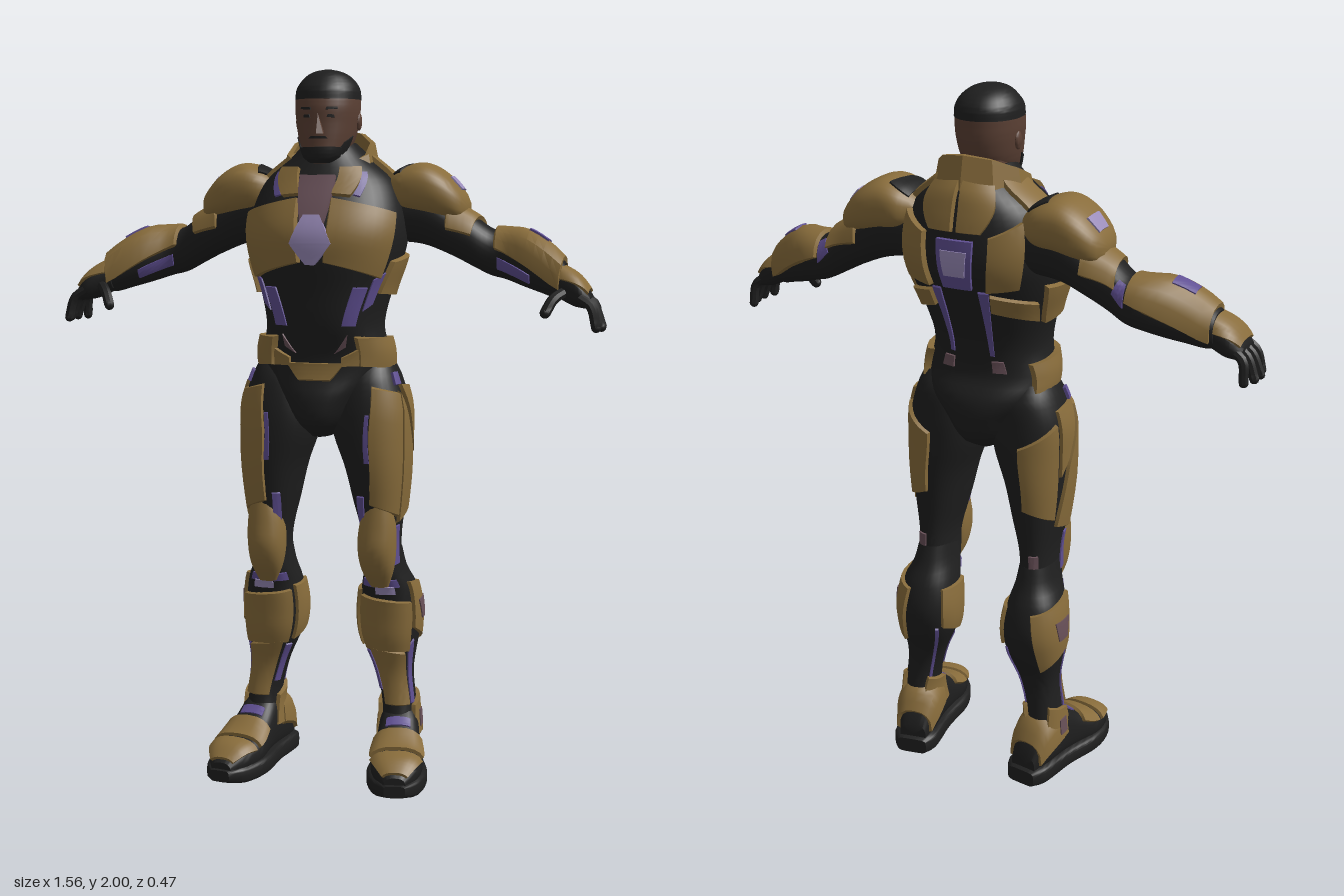
import * as THREE from 'three';
import { toCreasedNormals, mergeGeometries } from 'three/addons/utils/BufferGeometryUtils.js';

const paint = (name, color, side = THREE.FrontSide) => {
  const m = new THREE.MeshStandardMaterial({ color, side });
  m.name = name;
  return m;
};

// Smooth interpolation of a table of rows [t, lo, hi, back, front]
function sample(rows, t) {
  const n = rows.length - 1;
  t = Math.min(Math.max(t, rows[0][0]), rows[n][0]);
  let i = 0;
  while (i < n - 1 && t > rows[i + 1][0]) i++;
  const p = rows[i], q = rows[i + 1], d = q[0] - p[0], s = (t - p[0]) / d;
  const slope = (k, c) => {
    const a = rows[Math.max(k - 1, 0)], b = rows[Math.min(k + 1, n)];
    return (b[c] - a[c]) / (b[0] - a[0]) * d;
  };
  return [1, 2, 3, 4].map(c => {
    const h = 3 * s * s - 2 * s * s * s;
    return p[c] * (1 - h) + q[c] * h + slope(i, c) * s * (1 - s) ** 2 - slope(i + 1, c) * s * s * (1 - s);
  });
}

// Surface point at position t along the axis and angle a in degrees.
// y axis: 0 front, 90 at +x. x axis: 0 up, 90 front. z axis: 0 up, 90 at -x.
function surface(rows, axis = 'y', power = 2.3, matrix = null) {
  const P = (t, a) => {
    const [lo, hi, b, f] = sample(rows, t), r = a * Math.PI / 180;
    const e = v => Math.sign(v) * Math.abs(v) ** (2 / power);
    const c = e(Math.cos(r)), s = e(Math.sin(r));
    const m1 = (lo + hi) / 2, r1 = (hi - lo) / 2, m2 = (b + f) / 2, r2 = (f - b) / 2;
    const v = axis === 'y' ? new THREE.Vector3(m1 + r1 * s, t, m2 + r2 * c)
      : axis === 'x' ? new THREE.Vector3(t, m1 + r1 * c, m2 + r2 * s)
        : new THREE.Vector3(m1 - r1 * s, m2 + r2 * c, t);
    return matrix ? v.applyMatrix4(matrix) : v;
  };
  P.range = [rows[0][0], rows[rows.length - 1][0]];
  return P;
}

function gridGeometry(points, n, m, extra = []) {
  const index = [...extra];
  for (let i = 0; i < n; i++) for (let j = 0; j < m; j++) {
    const a = i * (m + 1) + j, b = a + 1, c = a + m + 1, d = c + 1;
    index.push(a, b, d, a, d, c);
  }
  return new THREE.BufferGeometry().setFromPoints(points).setIndex(index);
}

// Closed body running along a whole surface
function body(P, n = 30, m = 32) {
  const pts = [], caps = [], [t0, t1] = P.range;
  for (let i = 0; i <= n; i++) for (let j = 0; j <= m; j++) pts.push(P(t0 + (t1 - t0) * i / n, 360 * j / m));
  const base = pts.length, top = n * (m + 1);
  pts.push(P(t0, 0).add(P(t0, 180)).multiplyScalar(0.5), P(t1, 0).add(P(t1, 180)).multiplyScalar(0.5));
  for (let j = 0; j < m; j++) caps.push(base, j + 1, j, base + 1, top + j, top + j + 1);
  return gridGeometry(pts, n, m, caps);
}

// Raised plate with bevelled rim over four corners [t, angle]
function plate(P, [c0, c1, c2, c3], h) {
  const n = 10, pts = [];
  const step = k => k === 0 ? 0 : k === n ? 1 : 0.03 + 0.94 * (k - 1) / (n - 2);
  for (let i = 0; i <= n; i++) for (let j = 0; j <= n; j++) {
    const u = step(j), v = step(i);
    const at = k => (c0[k] * (1 - u) + c1[k] * u) * (1 - v) + (c3[k] * (1 - u) + c2[k] * u) * v;
    const t = at(0), a = at(1), e = 0.003;
    const normal = P(t, a + 1).sub(P(t, a - 1)).cross(P(t + e, a).sub(P(t - e, a))).normalize();
    const rim = i === 0 || j === 0 || i === n || j === n;
    pts.push(P(t, a).addScaledVector(normal, rim ? Math.max(h - 0.02, -0.005) : h));
  }
  return gridGeometry(pts, n, n);
}

export function createModel() {
  const model = new THREE.Group();
  model.name = 'armouredFigure';
  const gold = paint('gold armour', 0x886c3b, THREE.DoubleSide), black = paint('black suit', 0x1f1f1f);
  const purple = paint('purple glow', 0x5f4f92), lavender = paint('lavender light', 0x9a8cba);
  const mauve = paint('mauve panel', 0x685058), skin = paint('skin', 0x5b4034);

  const add = (name, geometry, material, both = false) => {
    for (const side of both ? [1, -1] : [1]) {
      const g = geometry.index ? geometry.toNonIndexed() : geometry.clone();
      g.deleteAttribute('uv');
      g.deleteAttribute('normal');
      if (side < 0) {
        const p = g.attributes.position;
        for (let i = 0; i < p.count; i += 3) {
          const [a, b, c] = [0, 1, 2].map(k => new THREE.Vector3().fromBufferAttribute(p, i + k));
          [a, c, b].forEach((v, k) => p.setXYZ(i + k, -v.x, v.y, v.z));
        }
      }
      g.computeVertexNormals();
      const mesh = new THREE.Mesh(toCreasedNormals(g, 0.6), material);
      mesh.name = both ? (side > 0 ? 'left ' : 'right ') + name : name;
      model.add(mesh);
    }
  };
  const plates = (name, P, material, h, both, ...quads) => quads.forEach(q => add(name, plate(P, q, h), material, both));

  // Torso and pelvis
  const torso = surface([[0.99, -.03, .03, -.06, .1], [1.03, -.07, .07, -.13, .15], [1.1, -.12, .12, -.155, .155],
    [1.16, -.17, .17, -.15, .135], [1.22, -.18, .18, -.12, .13], [1.3, -.165, .165, -.125, .15],
    [1.4, -.185, .185, -.16, .16], [1.48, -.21, .21, -.195, .17], [1.55, -.222, .222, -.22, .172],
    [1.62, -.215, .215, -.22, .145], [1.7, -.18, .18, -.205, .1], [1.76, -.11, .11, -.18, .07], [1.8, -.07, .07, -.12, .05]]);
  add('torso', body(torso, 48, 40), black);
  plates('chest plate', torso, gold, .015, true, [[1.475, 6], [1.43, 58], [1.61, 66], [1.65, 9]]);
  plates('collar bone plate', torso, gold, .012, true, [[1.655, 9], [1.65, 24], [1.73, 44], [1.73, 18]]);
  plates('neck stripe', torso, purple, .005, true, [[1.655, 26], [1.65, 32], [1.72, 48], [1.72, 40]]);
  plates('rib plate', torso, gold, .014, true, [[1.39, 60], [1.38, 108], [1.5, 112], [1.48, 68]]);
  plates('lower back plate', torso, gold, .012, true, [[1.39, 112], [1.43, 160], [1.48, 160], [1.45, 116]]);
  plates('shoulder blade plate', torso, gold, .015, true, [[1.5, 136], [1.49, 162], [1.64, 158], [1.68, 126]]);
  plates('upper back plate', torso, gold, .014, true, [[1.645, 163], [1.645, 179], [1.77, 179], [1.76, 135]]);
  plates('neck guard plate', torso, gold, .012, true, [[1.7, 82], [1.7, 116], [1.77, 124], [1.765, 80]]);
  plates('belt plate', torso, gold, .018, true, [[1.19, 36], [1.18, 120], [1.26, 126], [1.275, 36]]);
  plates('belt strap', torso, gold, .01, true, [[1.19, 20], [1.19, 38], [1.24, 38], [1.215, 20]]);
  plates('belt buckle', torso, gold, .012, false, [[1.15, -13], [1.15, 13], [1.2, 24], [1.2, -24]]);
  plates('sternum light', torso, lavender, .018, false, [[1.47, -2], [1.47, 2], [1.53, 13], [1.53, -13]], [[1.525, -13], [1.525, 13], [1.6, 4], [1.6, -4]]);
  plates('throat panel', torso, mauve, .013, false, [[1.57, -6], [1.57, 6], [1.71, 14], [1.71, -14]]);
  plates('waist stripe', torso, purple, .004, true, [[1.3, 24], [1.3, 40], [1.41, 48], [1.41, 32]], [[1.34, 46], [1.36, 58], [1.45, 66], [1.43, 52]]);
  plates('waist spot', torso, mauve, .005, true, [[1.225, 14], [1.245, 26], [1.28, 30], [1.26, 24]]);
  plates('spine panel', torso, purple, .008, false, [[1.49, 171], [1.49, 189], [1.63, 192], [1.63, 168]]);
  plates('spine light', torso, lavender, .011, false, [[1.53, 174], [1.53, 186], [1.6, 188], [1.6, 172]]);
  plates('back stripe', torso, purple, .004, true, [[1.28, 160], [1.28, 164], [1.49, 168], [1.49, 160]]);
  plates('back spot', torso, mauve, .005, true, [[1.235, 150], [1.235, 164], [1.27, 164], [1.27, 152]]);

  // High collar sloping down toward the front
  const collar = (t, a) => {
    const r = a * Math.PI / 180, c = Math.cos(r), base = 1.7 - .02 * c, top = 1.785 - .055 * c;
    return new THREE.Vector3(Math.sin(r) * (.134 - .02 * t), base + (top - base) * t, -.045 + c * (.14 - .025 * t));
  };
  plates('collar', collar, gold, .009, false, [[0, 20], [0, 340], [1, 332], [1, 28]]);

  // Head, hair and face
  const neck = surface([[1.7, -.075, .075, -.12, .05], [1.76, -.068, .068, -.105, .05], [1.82, -.066, .066, -.1, .045]]);
  add('neck', body(neck, 6), skin);
  const head = surface([[1.742, -.03, .03, -.01, .085], [1.76, -.053, .053, -.05, .1], [1.8, -.073, .073, -.095, .1],
    [1.85, -.084, .084, -.114, .097], [1.9, -.089, .089, -.118, .095], [1.94, -.083, .083, -.112, .08], [1.97, -.05, .05, -.07, .05]], 'y', 2.1);
  add('head', body(head), skin);
  const hair = surface([[1.917, -.09, .09, -.121, .092], [1.945, -.087, .087, -.118, .086], [1.97, -.072, .072, -.1, .066],
    [1.988, -.05, .05, -.072, .044], [1.997, -.026, .026, -.042, .018], [2, -.008, .008, -.02, -.004]], 'y', 2.1);
  add('hair', body(hair, 18), black);
  plates('beard', head, black, .004, false, [[1.745, -75], [1.745, 75], [1.788, 58], [1.788, -58]]);
  plates('jaw beard', head, black, .003, true, [[1.77, 46], [1.765, 78], [1.82, 80], [1.8, 58]]);
  plates('moustache', head, black, .004, false, [[1.809, -20], [1.809, 20], [1.816, 14], [1.816, -14]]);
  plates('eye', head, black, .003, true, [[1.866, 14], [1.866, 29], [1.874, 27], [1.875, 16]]);
  plates('brow', head, black, .005, true, [[1.887, 12], [1.889, 34], [1.894, 32], [1.894, 13]]);
  add('nose', new THREE.ConeGeometry(.02, .055, 6).translate(0, 1.85, .1), skin);
  add('ear', new THREE.SphereGeometry(1, 12, 8).scale(.008, .025, .016).translate(.086, 1.858, -.02), skin, true);

  // Arms
  const arm = surface([[.17, 1.53, 1.69, -.165, 0], [.26, 1.52, 1.69, -.17, -.008], [.34, 1.49, 1.635, -.17, -.015],
    [.4, 1.46, 1.6, -.165, -.022], [.45, 1.435, 1.565, -.17, -.035], [.49, 1.425, 1.56, -.17, -.035],
    [.55, 1.405, 1.555, -.148, -.004], [.6, 1.39, 1.53, -.12, .015], [.64, 1.378, 1.5, -.096, .026], [.665, 1.378, 1.475, -.08, .032]], 'x');
  add('arm', body(arm, 40), black, true);
  plates('upper arm plate', arm, gold, .011, true, [[.33, -95], [.33, 95], [.4, 82], [.43, -75]]);
  plates('forearm plate', arm, gold, .012, true, [[.455, -85], [.46, 82], [.66, 120], [.66, -120]]);
  plates('forearm light', arm, purple, .015, true, [[.555, -24], [.555, 10], [.61, 10], [.61, -24]]);
  plates('elbow stripe', arm, purple, .004, true, [[.42, -85], [.435, -40], [.455, -40], [.455, -95]], [[.47, 94], [.47, 124], [.57, 136], [.57, 112]]);

  // Shoulder guards
  const guard = surface([[.16, 1.63, 1.7, -.15, -.02], [.2, 1.61, 1.73, -.185, .01], [.26, 1.6, 1.747, -.192, .018],
    [.32, 1.59, 1.72, -.19, .01], [.37, 1.585, 1.668, -.165, -.02], [.385, 1.6, 1.64, -.13, -.06]], 'x', 2.6);
  add('shoulder guard', body(guard, 20), gold, true);
  plates('shoulder seam', guard, black, .004, true, [[.175, -45], [.175, 35], [.205, 45], [.235, -30]]);
  plates('shoulder light', guard, lavender, .004, true, [[.335, -22], [.335, 12], [.368, 12], [.368, -22]]);

  // Hands
  const hand = surface([[.64, 1.385, 1.475, -.07, .03], [.69, 1.36, 1.448, -.075, .05], [.715, 1.355, 1.425, -.07, .055], [.738, 1.352, 1.392, -.055, .045]], 'x', 2.8);
  add('hand', body(hand, 10, 20), black, true);
  plates('hand plate', hand, gold, .007, true, [[.655, -90], [.655, 85], [.732, 60], [.732, -60]]);
  const digit = (points, r) => {
    const curve = new THREE.CatmullRomCurve3(points.map(p => new THREE.Vector3(...p)));
    return mergeGeometries([new THREE.TubeGeometry(curve, 8, r, 8), new THREE.SphereGeometry(r, 8, 6).translate(...points[points.length - 1])]);
  };
  for (let i = 0; i < 4; i++) {
    const z = -.052 + i * .033, reach = [.75, .765, .768, .758][i];
    add('finger ' + (i + 1), digit([[.71, 1.385, z], [.742, 1.362, z * 1.1], [reach, 1.306, z * 1.2]], .0135), black, true);
  }
  add('thumb', digit([[.67, 1.4, .025], [.642, 1.38, .06], [.624, 1.345, .08]], .015), black, true);

  // Thighs
  const thigh = surface([[.62, .115, .212, -.1, .075], [.7, .11, .212, -.1, .085], [.8, .085, .225, -.108, .105], [.9, .06, .235, -.116, .12],
    [1, .025, .238, -.12, .125], [1.08, .02, .235, -.12, .12], [1.16, .04, .21, -.11, .1], [1.2, .08, .19, -.08, .07]]);
  add('thigh', body(thigh), black, true);
  plates('thigh plate', thigh, gold, .01, true, [[.8, -4], [.76, 62], [1.12, 64], [1.14, 14]],
    [[.74, 63], [.78, 114], [.96, 94], [1.13, 64]], [[.98, 96], [.93, 112], [1.13, 110], [1.14, 70]], [[.8, 118], [.84, 182], [1.03, 178], [1.1, 114]]);
  plates('thigh stripe', thigh, purple, .004, true, [[.67, -55], [.67, -28], [.83, -12], [.83, -30]],
    [[.92, -3], [.92, 3], [1.06, 9], [1.06, 4]], [[.62, 50], [.62, 82], [.74, 78], [.74, 52]]);
  plates('hip light', thigh, purple, .008, true, [[1.135, 58], [1.135, 74], [1.17, 74], [1.17, 58]]);
  plates('knee back spot', thigh, mauve, .005, true, [[.66, 150], [.66, 178], [.7, 178], [.7, 150]]);

  // Shins and knee pads
  const shin = surface([[.08, .15, .26, -.14, .04], [.2, .155, .25, -.12, .005], [.3, .132, .242, -.118, -.005], [.4, .092, .255, -.15, .018],
    [.47, .085, .257, -.162, .024], [.55, .095, .246, -.145, .035], [.6, .107, .224, -.12, .055], [.66, .115, .212, -.1, .065]]);
  add('shin', body(shin), black, true);
  plates('shin plate', shin, gold, .01, true, [[.2, -28], [.2, 48], [.36, 42], [.38, -34]], [[.365, -46], [.36, 52], [.51, 58], [.53, -50]],
    [[.43, 58], [.35, 152], [.54, 168], [.57, 62]], [[.42, -130], [.37, -54], [.54, -56], [.54, -130]]);
  plates('shin stripe', shin, purple, .004, true, [[.2, 56], [.2, 76], [.4, 66], [.38, 50]], [[.24, -62], [.24, -38], [.36, -44], [.36, -64]],
    [[.22, -132], [.22, -122], [.42, -136], [.42, -144]], [[.555, -50], [.555, 40], [.58, 40], [.58, -50]]);
  plates('knee light', shin, lavender, .007, true, [[.535, -12], [.535, 25], [.56, 25], [.56, -12]]);
  plates('calf panel', shin, mauve, .013, true, [[.45, 84], [.45, 106], [.51, 116], [.51, 76]]);
  plates('ankle plate', shin, gold, .012, true, [[.11, 55], [.11, 155], [.23, 140], [.2, 62]], [[.11, -155], [.11, -55], [.2, -62], [.23, -140]]);
  plates('ankle panel', shin, mauve, .015, true, [[.13, 84], [.13, 108], [.18, 108], [.18, 84]]);
  const knee = surface([[.56, .14, .19, .02, .06], [.61, .118, .207, .01, .1], [.67, .108, .214, 0, .122], [.74, .112, .214, .01, .114], [.82, .135, .2, .04, .1]]);
  add('knee pad', body(knee, 14, 20), gold, true);

  // Feet, turned slightly outward
  const turn = new THREE.Matrix4().makeRotationY(.17).setPosition(.213, 0, 0);
  const sole = surface([[-.182, -.045, .045, 0, .045], [-.15, -.065, .065, 0, .055], [-.02, -.07, .07, 0, .055],
    [.1, -.086, .086, 0, .055], [.19, -.066, .066, 0, .05], [.238, -.03, .03, .012, .045]], 'z', 5, turn);
  add('sole', body(sole, 24), black, true);
  const boot = surface([[-.17, -.04, .04, .02, .09], [-.12, -.056, .056, .02, .18], [-.03, -.058, .058, .02, .2], [.04, -.064, .064, .02, .155],
    [.11, -.074, .074, .02, .115], [.18, -.061, .061, .02, .1], [.228, -.03, .03, .02, .065]], 'z', 2.6, turn);
  add('boot', body(boot, 24), black, true);
  plates('toe plate', boot, gold, .009, true, [[.14, -75], [.14, 75], [.22, 58], [.22, -58]]);
  plates('instep plate', boot, gold, .01, true, [[.05, -68], [.05, 68], [.125, 72], [.125, -72]]);
  plates('heel plate', boot, gold, .01, true, [[-.155, -100], [-.155, 100], [-.05, 95], [-.05, -95]]);
  plates('instep stripe', boot, purple, .004, true, [[.015, -28], [.015, 28], [.04, 28], [.04, -28]]);

  return model;
}
